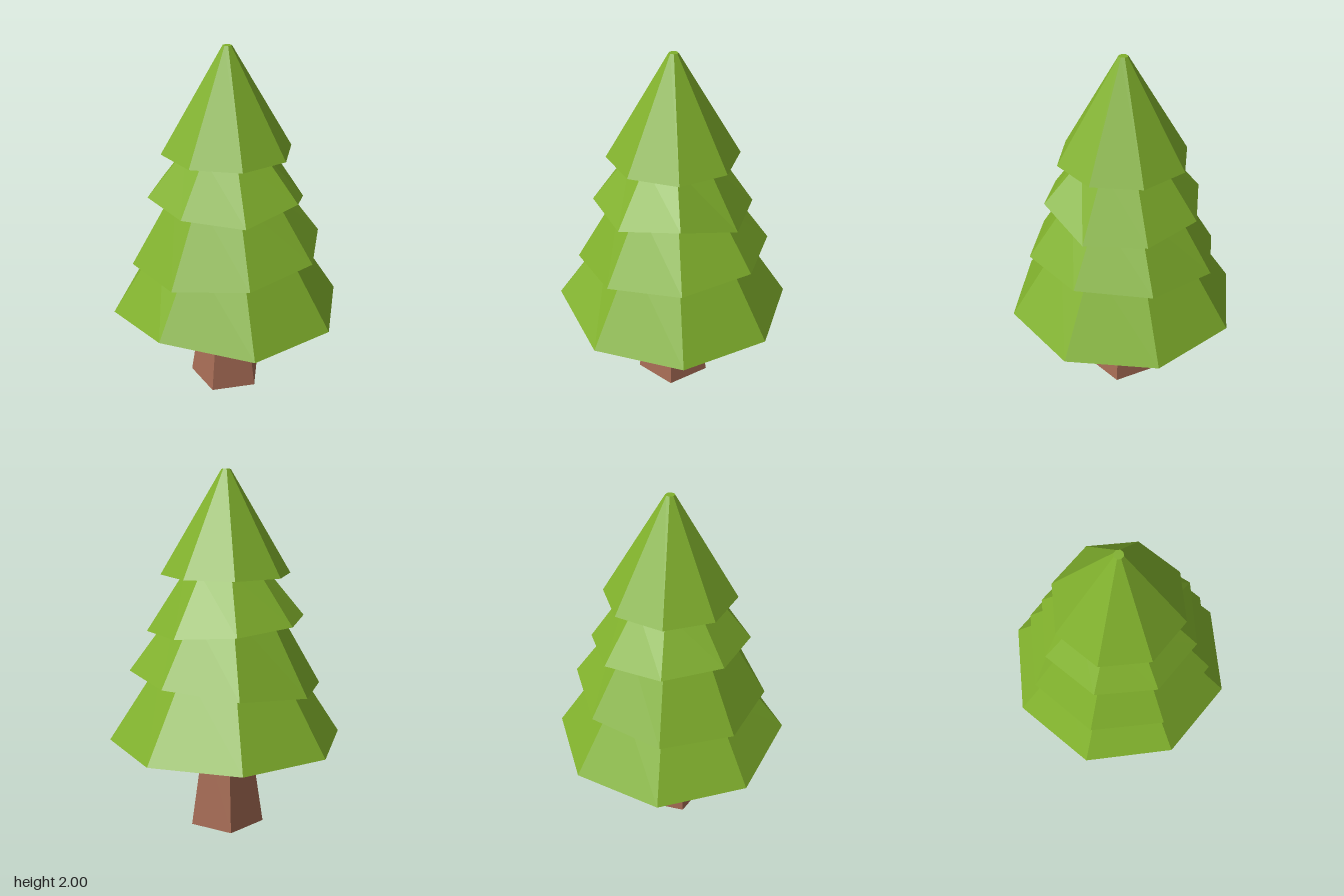
import * as THREE from 'three';

// Ring of n points; tilt leans it along x, lift raises single corners
function ring(n, r, y, { start = 0, tilt = 0, lift = {} } = {}) {
  return Array.from({ length: n }, (_, k) => {
    const a = start + (k / n) * Math.PI * 2;
    const x = r * Math.sin(a);
    return [x, y + tilt * x + (lift[k] || 0), r * Math.cos(a)];
  });
}

// Closed faceted skin through rings listed from the top, down and back inside
function loft(rings) {
  const pos = [];
  const n = rings[0].length;
  for (let i = 0; i < rings.length - 1; i++) {
    const a = rings[i], b = rings[i + 1];
    for (let k = 0; k < n; k++) {
      const m = (k + 1) % n;
      pos.push(...a[k], ...b[k], ...b[m], ...a[k], ...b[m], ...a[m]);
    }
  }
  const first = rings[0], last = rings[rings.length - 1];
  for (let k = 1; k < n - 1; k++) {
    pos.push(...first[0], ...first[k], ...first[k + 1]);
    pos.push(...last[0], ...last[k + 1], ...last[k]);
  }
  const g = new THREE.BufferGeometry();
  g.setAttribute('position', new THREE.Float32BufferAttribute(pos, 3));
  g.computeVertexNormals();
  return g;
}

export function createModel() {
  const tree = new THREE.Group();
  tree.name = 'pineTree';
  const leaf = new THREE.MeshStandardMaterial({ color: 0x80b02c, flatShading: true });
  const bark = new THREE.MeshStandardMaterial({ color: 0xa56b54, flatShading: true });

  const add = (name, geometry, material) => {
    const mesh = new THREE.Mesh(geometry, material);
    mesh.name = name;
    tree.add(mesh);
  };

  // Five-sided trunk, flared at the foot
  const back = { start: Math.PI };
  add('trunk', loft([
    ring(5, 0.135, 0.95, back),
    ring(5, 0.138, 0.52, back),
    ring(5, 0.217, 0, back),
  ]), bark);

  // Hollow foliage tiers: outer top, outer rim, inner rim, inner ceiling
  const tiers = [
    { name: 'topTier', top: [0.025, 2], rim: [0.36, 1.44], ceiling: [0.24, 1.5] },
    { name: 'upperTier', top: [0.225, 1.46], rim: [0.44, 1.165], ceiling: [0.26, 1.28],
      tilt: -0.08, lift: { 1: 0.08 } },
    { name: 'middleTier', top: [0.285, 1.25], rim: [0.54, 0.857], ceiling: [0.34, 1.0],
      tilt: 0.095 },
    { name: 'bottomTier', top: [0.36, 0.97], rim: [0.66, 0.51], ceiling: [0.28, 0.93],
      lift: { 7: 0.065 } },
  ];
  for (const { name, top, rim, ceiling, tilt, lift } of tiers) {
    add(name, loft([
      ring(8, ...top),
      ring(8, ...rim, { tilt, lift }),
      ring(8, rim[0] * 0.79, rim[1], { tilt, lift }),
      ring(8, ...ceiling),
    ]), leaf);
  }
  return tree;
}
